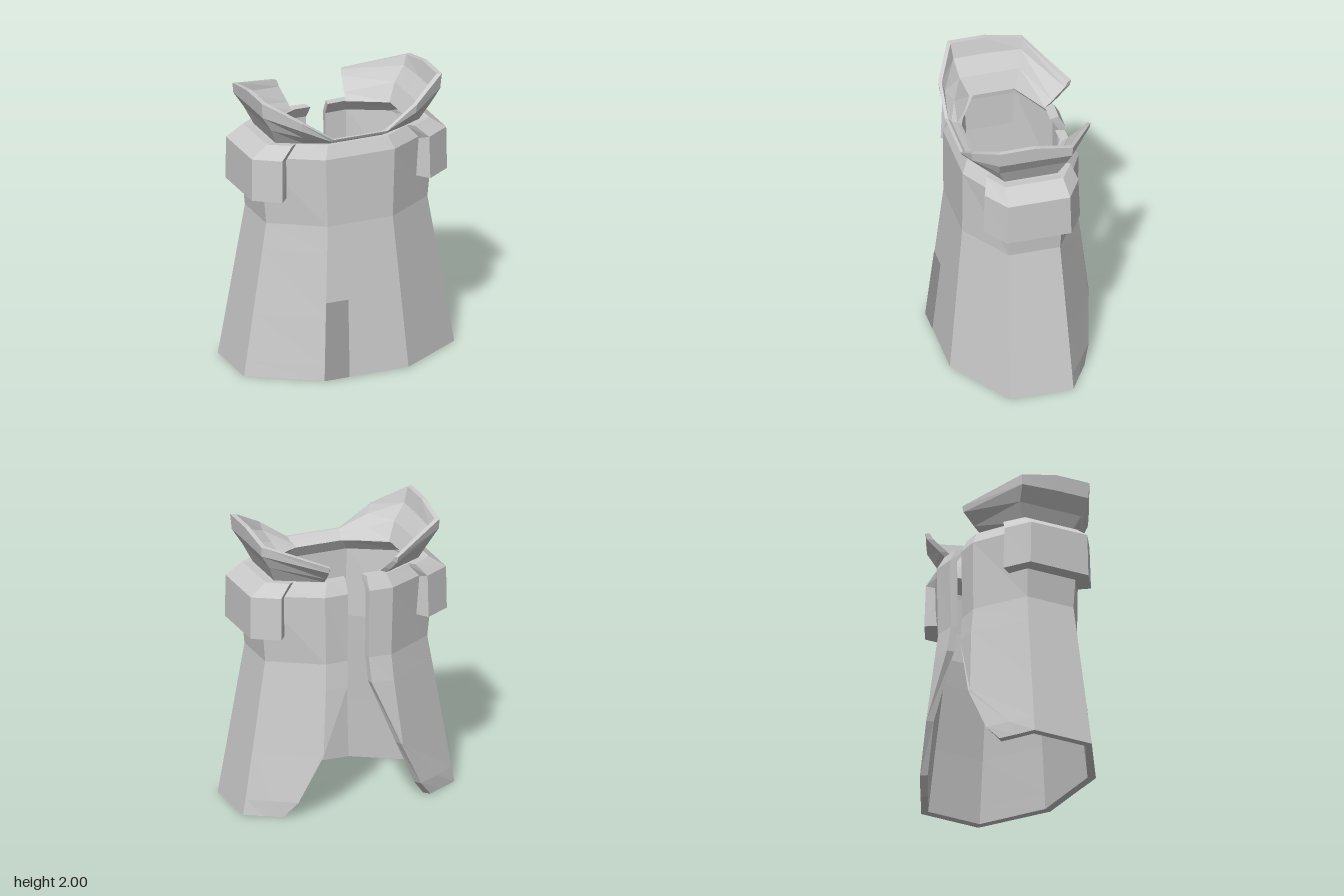
import * as THREE from 'three';

const grey = new THREE.MeshStandardMaterial({ color: 0xcccccc, flatShading: true });
const darkGrey = new THREE.MeshStandardMaterial({ color: 0xa0a0a0, flatShading: true, side: THREE.DoubleSide });

// Solid slab through stations; each station has outer points going up and matching inner points.
function loft(name, stations) {
  const pos = [];
  const quad = (a, b, c, d) => pos.push(...a, ...b, ...c, ...a, ...c, ...d);
  const loops = stations.map(s => [...s.outer, ...[...s.inner].reverse()]);
  const n = loops[0].length;
  for (let c = 0; c < loops.length - 1; c++) {
    for (let i = 0; i < n; i++) {
      const j = (i + 1) % n;
      quad(loops[c][i], loops[c][j], loops[c + 1][j], loops[c + 1][i]);
    }
  }
  const first = stations[0], last = stations[stations.length - 1];
  for (let i = 0; i < n / 2 - 1; i++) {
    quad(first.outer[i], first.inner[i], first.inner[i + 1], first.outer[i + 1]);
    quad(last.outer[i], last.outer[i + 1], last.inner[i + 1], last.inner[i]);
  }
  const geo = new THREE.BufferGeometry();
  geo.setAttribute('position', new THREE.Float32BufferAttribute(pos, 3));
  geo.computeVertexNormals();
  const mesh = new THREE.Mesh(geo, grey);
  mesh.name = name;
  return mesh;
}

// Stations reflected to the other side, in reverse order so faces stay outward.
const flip = pts => pts.map(([x, y, z]) => [-x, y, z]);
const mirror = stations => stations.map(s => ({ outer: flip(s.outer), inner: flip(s.inner) })).reverse();

// Station whose inner points are the outer ones pulled toward the axis, row by row.
const shellStation = (outer, sx, sz) => ({
  outer,
  inner: outer.map(([x, y, z], i) => [x * sx[i], y, z * sz[i]]),
});

function makeBody() {
  const ys = [0, 0.11, 0.44, 0.9, 1.08, 1.57, 1.66];
  // corner lines given as [x, z] at the hem, waist, shoulder and neck
  const corner = (hem, waist, shoulder, neck) => ys.map(y => {
    if (y > 1.6) return [neck[0], y, neck[1]];
    if (y > 1.1) return [shoulder[0], y, shoulder[1]];
    const t = y / 1.08;
    return [hem[0] + (waist[0] - hem[0]) * t, y, hem[1] + (waist[1] - hem[1]) * t];
  });
  const rows = pts => pts.map(([x, z], i) => [x, ys[i], z]);
  const columns = [
    // curved edge of the back opening
    rows([[0.54, -0.375], [0.45, -0.43], [0.285, -0.475], [0.09, -0.425], [0.078, -0.4], [0.078, -0.41], [0.078, -0.365]]),
    // back corner
    rows([[0.65, -0.308], [0.6, -0.335], [0.3, -0.468], [0.25, -0.43], [0.24, -0.408], [0.25, -0.415], [0.22, -0.37]]),
    corner([0.775, -0.235], [0.595, -0.19], [0.64, -0.21], [0.57, -0.19]),
    corner([0.775, 0.21], [0.595, 0.17], [0.64, 0.18], [0.57, 0.16]),
    corner([0.31, 0.505], [0.24, 0.4], [0.255, 0.4], [0.22, 0.36]),
  ];
  const sx = [0.93, 0.93, 0.93, 0.92, 0.92, 0.9, 0.81];
  const sz = [0.9, 0.9, 0.9, 0.88, 0.88, 0.87, 0.82];
  const half = columns.map(c => shellStation(c, sx, sz));
  return loft('robeBody', [...half, ...mirror(half)]);
}

function makeCollar() {
  // back end, rear corner, side middle, front corner, front slope, front strip
  const profiles = [
    [[0.23, 1.66, -0.35], [0.235, 1.7, -0.4], [0.25, 1.78, -0.49], [0.25, 1.82, -0.5]],
    [[0.53, 1.66, -0.19], [0.585, 1.78, -0.24], [0.65, 1.88, -0.26], [0.655, 1.95, -0.265]],
    [[0.53, 1.66, 0], [0.585, 1.78, 0], [0.655, 1.89, 0], [0.665, 2, 0]],
    [[0.53, 1.66, 0.18], [0.585, 1.78, 0.235], [0.655, 1.89, 0.25], [0.665, 2, 0.255]],
    [[0.36, 1.66, 0.265], [0.39, 1.73, 0.33], [0.42, 1.8, 0.38], [0.425, 1.86, 0.385]],
    [[0.19, 1.66, 0.335], [0.195, 1.675, 0.36], [0.2, 1.69, 0.39], [0.2, 1.71, 0.4]],
  ];
  const s = [0.87, 0.89, 0.92, 0.95];
  const half = profiles.map(p => shellStation(p, s, s));
  return loft('collar', [...half, ...mirror(half)]);
}

// Plan points [x, z] of a shoulder guard: outer wall, sloped top ridge, inner wall
const guard = [
  [[0.54, -0.345], [0.46, -0.3], [0.47, -0.25]],
  [[0.72, -0.235], [0.6, -0.21], [0.56, -0.18]],
  [[0.72, 0.215], [0.6, 0.195], [0.56, 0.16]],
  [[0.545, 0.335], [0.45, 0.285], [0.47, 0.245]],
].map(([o, r, w]) => ({
  outer: [[o[0], 1.28, o[1]], [o[0] - 0.003, 1.58, o[1] * 0.97], [r[0], 1.665, r[1]]],
  inner: [[w[0], 1.28, w[1]], [w[0], 1.55, w[1]], [r[0] - 0.05, 1.66, r[1] * 0.86]],
}));

// Flat darker patch lying on the lower front panel
function makePatch() {
  const z = y => 0.508 - 0.0972 * y;
  const top = 0.545;
  const geo = new THREE.BufferGeometry();
  geo.setAttribute('position', new THREE.Float32BufferAttribute([
    -0.31, 0, z(0), -0.125, 0, z(0), -0.112, top, z(top), -0.276, top, z(top)], 3));
  geo.setIndex([0, 1, 2, 0, 2, 3]);
  geo.computeVertexNormals();
  const mesh = new THREE.Mesh(geo, darkGrey);
  mesh.name = 'frontPatch';
  return mesh;
}

export function createModel() {
  const group = new THREE.Group();
  group.name = 'robe';
  group.add(
    makeBody(),
    makeCollar(),
    loft('leftShoulderGuard', guard),
    loft('rightShoulderGuard', mirror(guard)),
    makePatch(),
  );
  return group;
}
